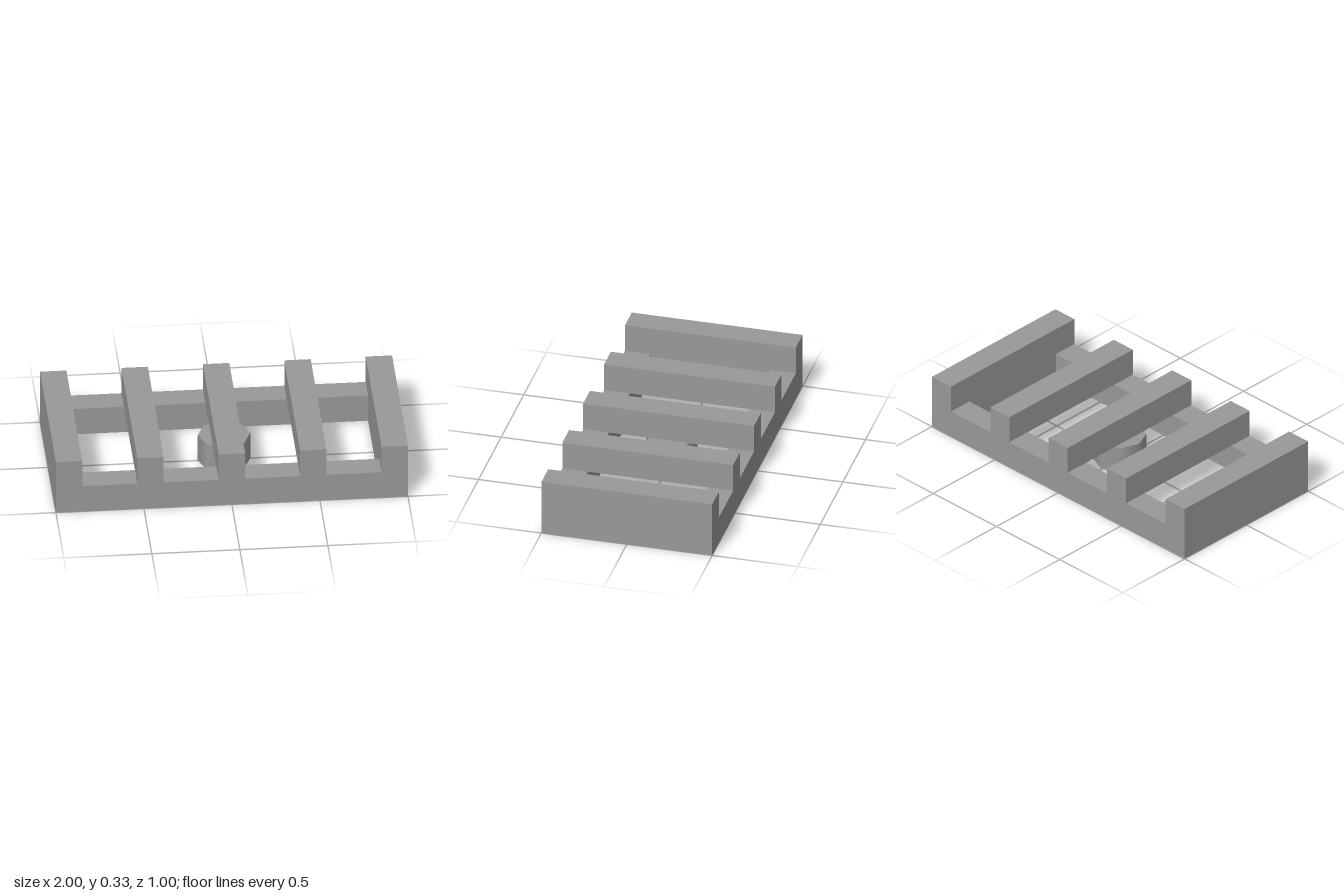
import * as THREE from 'three';

const LENGTH = 2, DEPTH = 1, BEAM = 0.15, LAYER = 1 / 6;

const material = new THREE.MeshStandardMaterial({ color: 0x999999 });

function addPart(group, name, geometry, x, y, z) {
  const mesh = new THREE.Mesh(geometry, material);
  mesh.name = name;
  mesh.position.set(x, y, z);
  group.add(mesh);
}

// Rectangle outline centred on the origin
function rectangle(PathType, width, height) {
  const w = width / 2, h = height / 2;
  return new PathType([
    new THREE.Vector2(-w, -h), new THREE.Vector2(w, -h),
    new THREE.Vector2(w, h), new THREE.Vector2(-w, h),
  ]);
}

export function createModel() {
  const model = new THREE.Group();
  model.name = 'slattedPallet';

  // Rectangular base frame with an open middle
  const outline = rectangle(THREE.Shape, LENGTH, DEPTH);
  outline.holes.push(rectangle(THREE.Path, LENGTH - 2 * BEAM, DEPTH - 2 * BEAM));
  const frame = new THREE.ExtrudeGeometry(outline, { depth: LAYER, bevelEnabled: false });
  frame.rotateX(-Math.PI / 2);
  addPart(model, 'baseFrame', frame, 0, 0, 0);

  // Five evenly spaced slats across the frame
  const slat = new THREE.BoxGeometry(BEAM, LAYER, DEPTH);
  for (let i = -2; i <= 2; i++) {
    addPart(model, `slat${i + 3}`, slat, i * (LENGTH - BEAM) / 4, LAYER * 1.5, 0);
  }

  // Eight-sided foot under the middle slat
  const foot = new THREE.CylinderGeometry(BEAM, BEAM, LAYER, 8);
  addPart(model, 'centreFoot', foot, 0, LAYER / 2, 0);

  return model;
}
